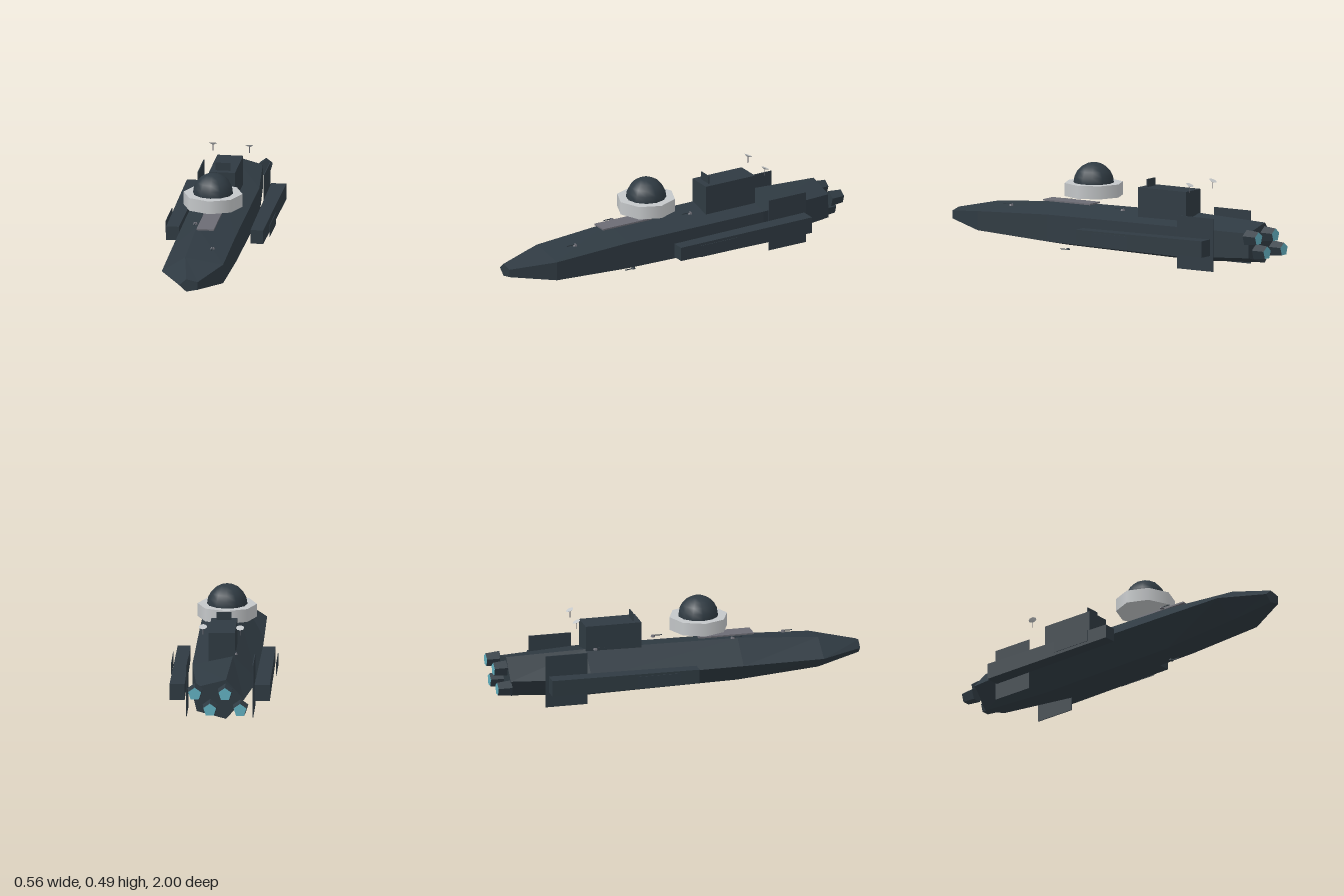
import * as THREE from 'three';

const mat = (name, color) => {
  const m = new THREE.MeshStandardMaterial({ color });
  m.name = name;
  return m;
};

// Faceted normals for low-poly parts
function flat(geo) {
  const g = geo.index ? geo.toNonIndexed() : geo;
  g.computeVertexNormals();
  return g;
}

// Five-sided hull lofted through sections [z, centreY, radiusX, radiusY], nose to tail
function hullGeometry(sections, sides = 5) {
  const pos = [], idx = [];
  for (const [z, cy, rx, ry] of sections) {
    for (let i = 0; i < sides; i++) {
      const a = Math.PI / 5 + (i / sides) * Math.PI * 2;
      pos.push(Math.cos(a) * rx, cy + Math.sin(a) * ry, z);
    }
  }
  const last = (sections.length - 1) * sides;
  for (let s = 0; s < last; s += sides) {
    for (let i = 0; i < sides; i++) {
      const j = (i + 1) % sides;
      const a = s + i, b = s + j, c = s + sides + j, d = s + sides + i;
      idx.push(a, d, c, a, c, b);
    }
  }
  for (let i = 1; i < sides - 1; i++) {
    idx.push(0, i, i + 1, last, last + i + 1, last + i);
  }
  const g = new THREE.BufferGeometry();
  g.setAttribute('position', new THREE.Float32BufferAttribute(pos, 3));
  g.setIndex(idx);
  return flat(g);
}

export function createModel() {
  const root = new THREE.Group();
  root.name = 'spaceship';
  const dark = mat('dark slate hull', 0x2f3a42);
  const pale = mat('pale grey', 0xc4c7c9);
  const grey = mat('mid grey', 0x6c6c74);
  const teal = mat('engine glow', 0x62b0c0);

  const add = (name, geo, material, x = 0, y = 0, z = 0, parent = root) => {
    const m = new THREE.Mesh(geo, material);
    m.name = name;
    m.position.set(x, y, z);
    parent.add(m);
    return m;
  };
  const box = (w, h, d) => new THREE.BoxGeometry(w, h, d);

  // Main hull
  add('hull', hullGeometry([
    [1.0, 0.142, 0.055, 0.036],
    [0.77, 0.141, 0.181, 0.087],
    [0.33, 0.14, 0.186, 0.122],
    [-0.5, 0.138, 0.192, 0.134],
    [-0.93, 0.145, 0.138, 0.112],
  ]), dark);

  // Floating ring with dome, and the landing deck below it
  add('ring', new THREE.CylinderGeometry(0.157, 0.157, 0.07, 8), pale, 0, 0.348, 0.13);
  add('dome', new THREE.SphereGeometry(0.107, 12, 5, 0, Math.PI * 2, 0, Math.PI / 2), dark, 0, 0.383, 0.13);
  add('landingDeck', box(0.092, 0.008, 0.3), grey, 0, 0.269, 0.272);

  // Bridge block and its upright plate
  add('bridge', box(0.138, 0.19, 0.304), dark, 0, 0.297, -0.35);
  add('bridgePlate', box(0.08, 0.045, 0.005), dark, 0, 0.412, -0.235);

  // Side pods, pod plates and tail fins
  for (const s of [1, -1]) {
    const pod = new THREE.CylinderGeometry(0.85 * Math.SQRT1_2, Math.SQRT1_2, 1, 4);
    pod.rotateY(Math.PI / 4).rotateX(Math.PI / 2).scale(0.08, 0.088, 0.805);
    add('sidePod', flat(pod), dark, s * 0.225, 0.129, -0.332);
    add('podPlate', box(0.003, 0.064, 0.23), dark, s * 0.277, 0.129, -0.153);
    add('tailFin', box(0.005, 0.283, 0.23), dark, s * 0.176, 0.1415, -0.635);
  }

  // Engines in a zigzag, glowing at the rear
  for (const [x, y] of [[0.12, 0.19], [-0.04, 0.19], [0.04, 0.104], [-0.12, 0.104]]) {
    const g = new THREE.CylinderGeometry(0.036, 0.043, 0.075, 5).rotateX(-Math.PI / 2);
    const groups = g.groups.map((o) => ({ ...o }));
    const f = flat(g);
    f.clearGroups();
    groups.forEach((o) => f.addGroup(o.start, o.count, o.materialIndex));
    add('engine', f, [dark, teal, dark], x, y, -0.9625);
  }

  // Dish antennas, tilted to the rear
  for (const [x, z] of [[-0.1, -0.56], [0.097, -0.545]]) {
    const antenna = new THREE.Group();
    antenna.name = 'dishAntenna';
    antenna.position.set(x, 0.395, z);
    root.add(antenna);
    add('dishPost', new THREE.CylinderGeometry(0.002, 0.002, 0.038, 5), grey, 0, 0.019, 0, antenna);
    const dish = add('dish', new THREE.CylinderGeometry(0.022, 0.008, 0.007, 8), pale, 0, 0.039, 0, antenna);
    dish.rotation.x = -0.42;
  }

  // Small gun turrets above and below
  const turrets = [
    [0.067, 0.23, 0.61, 1], [0.067, 0.263, -0.1, 1], [-0.07, 0.264, 0.3, 1],
    [-0.07, 0.265, -0.45, 1], [0.067, 0.024, 0.25, -1],
  ];
  for (const [x, y, z, up] of turrets) {
    const turret = new THREE.Group();
    turret.name = 'turret';
    turret.position.set(x, y, z);
    root.add(turret);
    add('turretBase', flat(new THREE.CylinderGeometry(0.009, 0.013, 0.009, 6)), up > 0 ? grey : dark, 0, 0, 0, turret);
    add('turretBarrel', box(0.004, 0.004, 0.05), dark, 0, up * 0.003, 0.025, turret);
  }
  return root;
}
